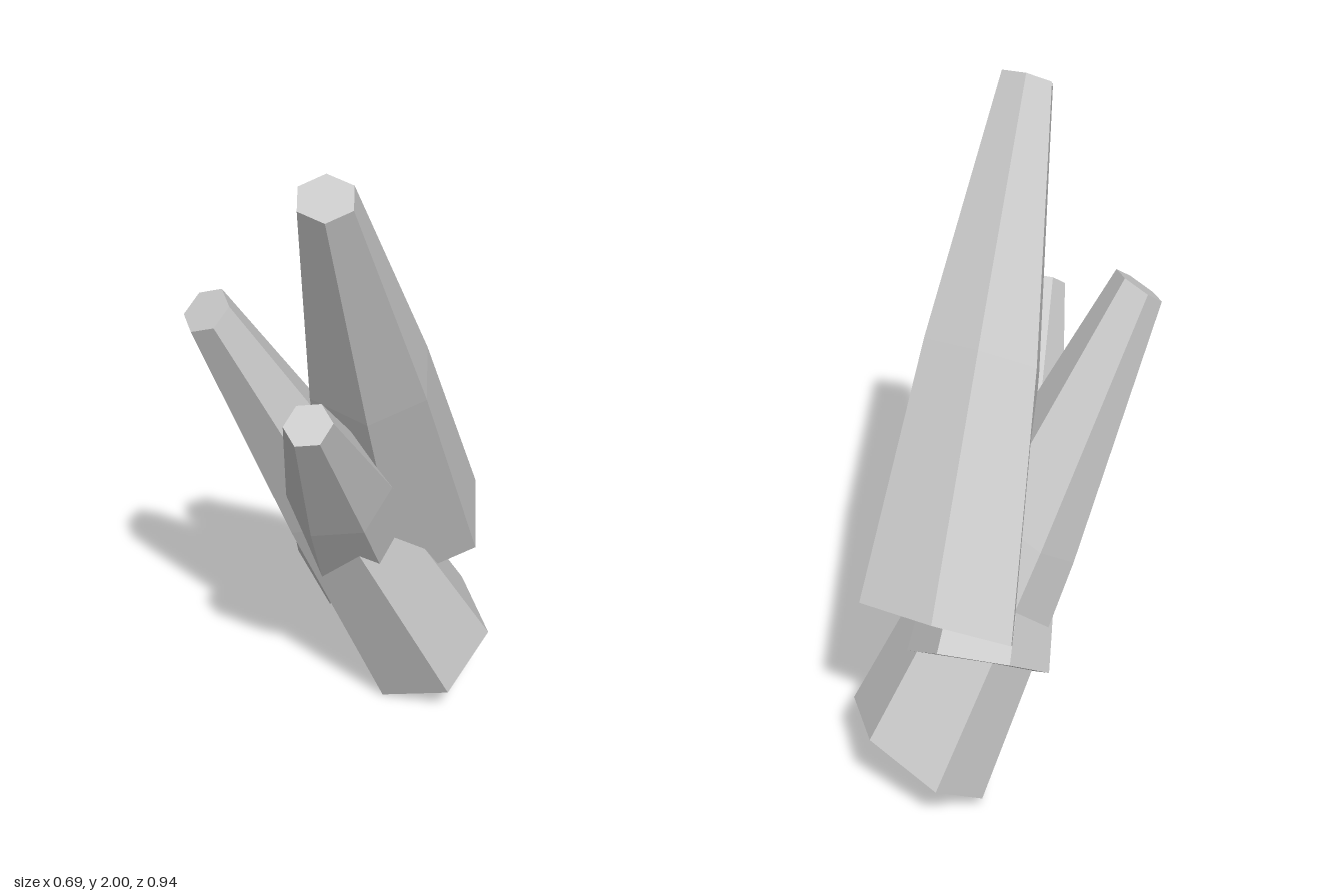
import * as THREE from 'three';

const material = new THREE.MeshStandardMaterial({ color: 0xcccccc, flatShading: true });

// Six-sided tapering shard from base centre to tip centre.
// c0 and c1 are the offsets of two neighbouring base corners (counter-clockwise from above).
function shard(name, base, tip, c0, c1) {
  const from = new THREE.Vector3(...base);
  const to = new THREE.Vector3(...tip);
  const a = new THREE.Vector3(...c0);
  const e = new THREE.Vector3(...c1).multiplyScalar(2).sub(a).divideScalar(Math.sqrt(3));

  const geometry = new THREE.CylinderGeometry(1, 1, 1, 6, 2);
  const pos = geometry.attributes.position;
  const p = new THREE.Vector3();
  for (let i = 0; i < pos.count; i++) {
    const t = pos.getY(i) + 0.5;
    // Full width at the base, a slight bulge half way, narrow at the tip
    const s = t < 0.5 ? 1 - 0.54 * t : 0.73 - 0.82 * (t - 0.5);
    p.lerpVectors(from, to, t)
      .addScaledVector(e, pos.getX(i) * s)
      .addScaledVector(a, pos.getZ(i) * s);
    pos.setXYZ(i, p.x, p.y, p.z);
  }
  geometry.computeVertexNormals();
  const mesh = new THREE.Mesh(geometry, material);
  mesh.name = name;
  return mesh;
}

export function createModel() {
  const group = new THREE.Group();
  group.name = 'crystalCluster';
  group.add(
    // Lower shard, leaning forward
    shard('lowerCrystal', [-0.057, 0.135, -0.29], [-0.175, 1.493, 0.41],
      [0.01, -0.133, 0.178], [0.222, -0.04, 0.105]),
    // Tallest shard, leaning forward and to its left
    shard('tallCrystal', [-0.1, 0.6, -0.24], [0.266, 1.96, 0.375],
      [0.245, -0.035, -0.065], [0.12, 0.09, -0.185]),
    // Small shard poking out between the other two
    shard('smallCrystal', [-0.18, 0.47, -0.16], [0.24, 1.33, 0.42],
      [0.145, 0.023, -0.143], [-0.02, 0.123, -0.163]),
  );
  return group;
}
